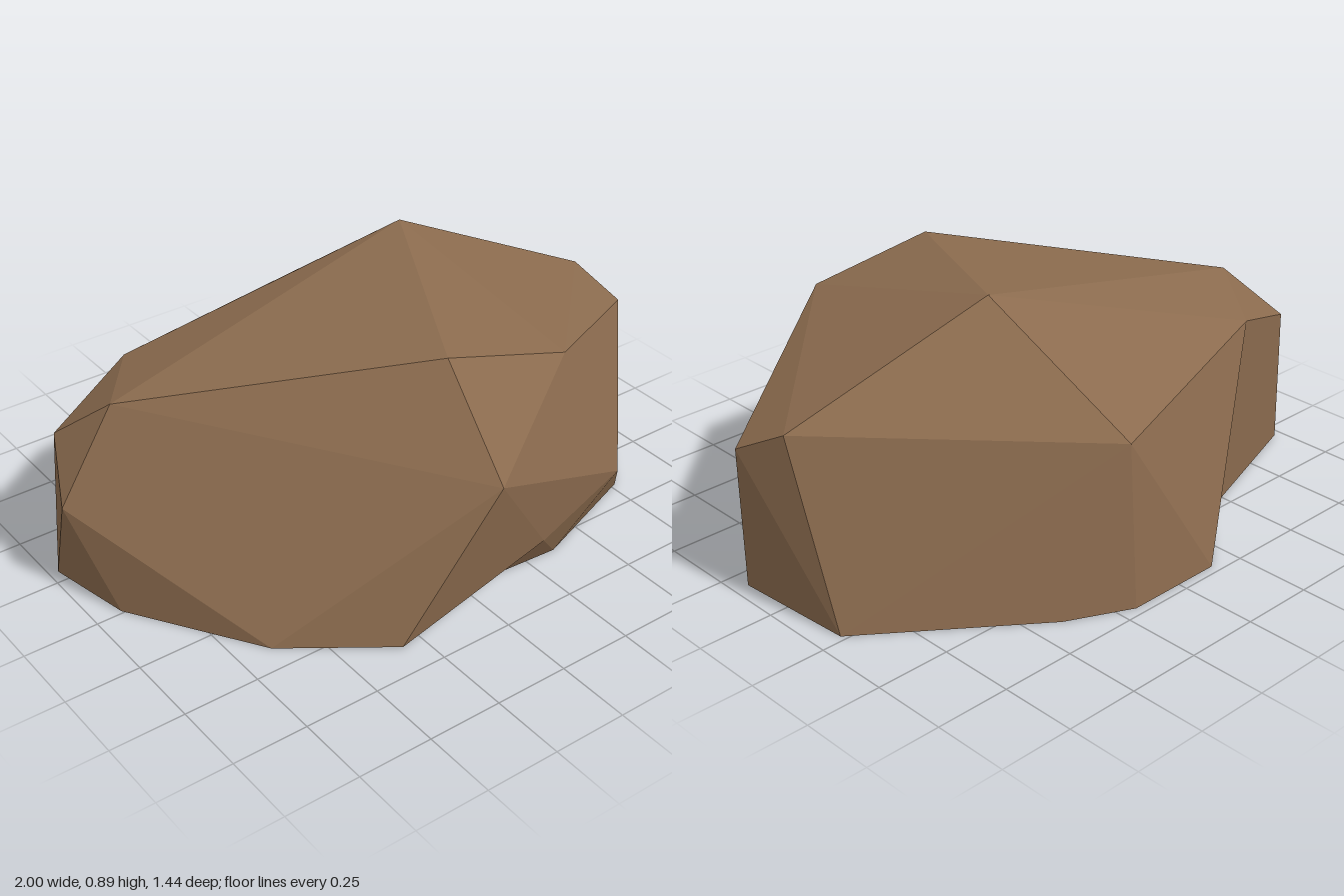
import * as THREE from 'three';
import { ConvexGeometry } from 'three/addons/geometries/ConvexGeometry.js';

// Corners of the rock above the ground
const UPPER = [
  [-1, 0.34, -0.16], [-0.81, 0.64, -0.16], [-0.02, 0.81, 0.45], [0.31, 0.89, -0.21],
  [0.95, 0.6, -0.05], [1, 0.51, 0.12], [0.38, 0.72, 0.52], [-0.02, 0.5, 0.72],
  [0.57, 0.25, 0.6], [0.23, 0.15, 0.64], [0.18, 0.53, -0.67], [-0.6, 0.6, -0.44],
  [-0.92, 0.49, -0.33],
];

// Ground outline (x, z)
const RIM = [
  [0.92, -0.23], [0.95, 0.18], [0.77, 0.4], [0.36, 0.55], [-0.32, 0.64], [-0.64, 0.41],
  [-0.91, -0.01], [-0.97, -0.3], [-0.15, -0.72], [0.19, -0.72], [0.4, -0.62],
];

// Two dents in the outline: position on the convex shell, then the depth they are pushed to
const DENTS = [
  { x: 0.05, z: 0.605, to: 0.53 },
  { x: -0.41, z: -0.62, to: -0.49 },
];

function rockGeometry() {
  const points = [
    ...UPPER.map((p) => new THREE.Vector3(...p)),
    ...RIM.map(([x, z]) => new THREE.Vector3(x, 0, z)),
    ...DENTS.map((d) => new THREE.Vector3(d.x, 0, d.z)),
  ];
  const hull = new ConvexGeometry(points).getAttribute('position');
  const out = [];
  const v = new THREE.Vector3();
  for (let i = 0; i < hull.count; i += 3) {
    // Leave the underside open
    if (Math.max(hull.getY(i), hull.getY(i + 1), hull.getY(i + 2)) < 1e-4) continue;
    for (let k = 0; k < 3; k++) {
      v.fromBufferAttribute(hull, i + k);
      for (const d of DENTS) {
        if (Math.hypot(v.x - d.x, v.y, v.z - d.z) < 1e-3) v.z = d.to;
      }
      out.push(v.x, v.y, v.z);
    }
  }
  const geometry = new THREE.BufferGeometry();
  geometry.setAttribute('position', new THREE.Float32BufferAttribute(out, 3));
  geometry.computeVertexNormals();
  return geometry;
}

export function createModel() {
  const group = new THREE.Group();
  group.name = 'rock';
  const brownStone = new THREE.MeshStandardMaterial({
    color: 0x8b6b4e, flatShading: true, side: THREE.DoubleSide,
  });
  brownStone.name = 'brown stone';
  const boulder = new THREE.Mesh(rockGeometry(), brownStone);
  boulder.name = 'boulder';
  group.add(boulder);
  return group;
}
